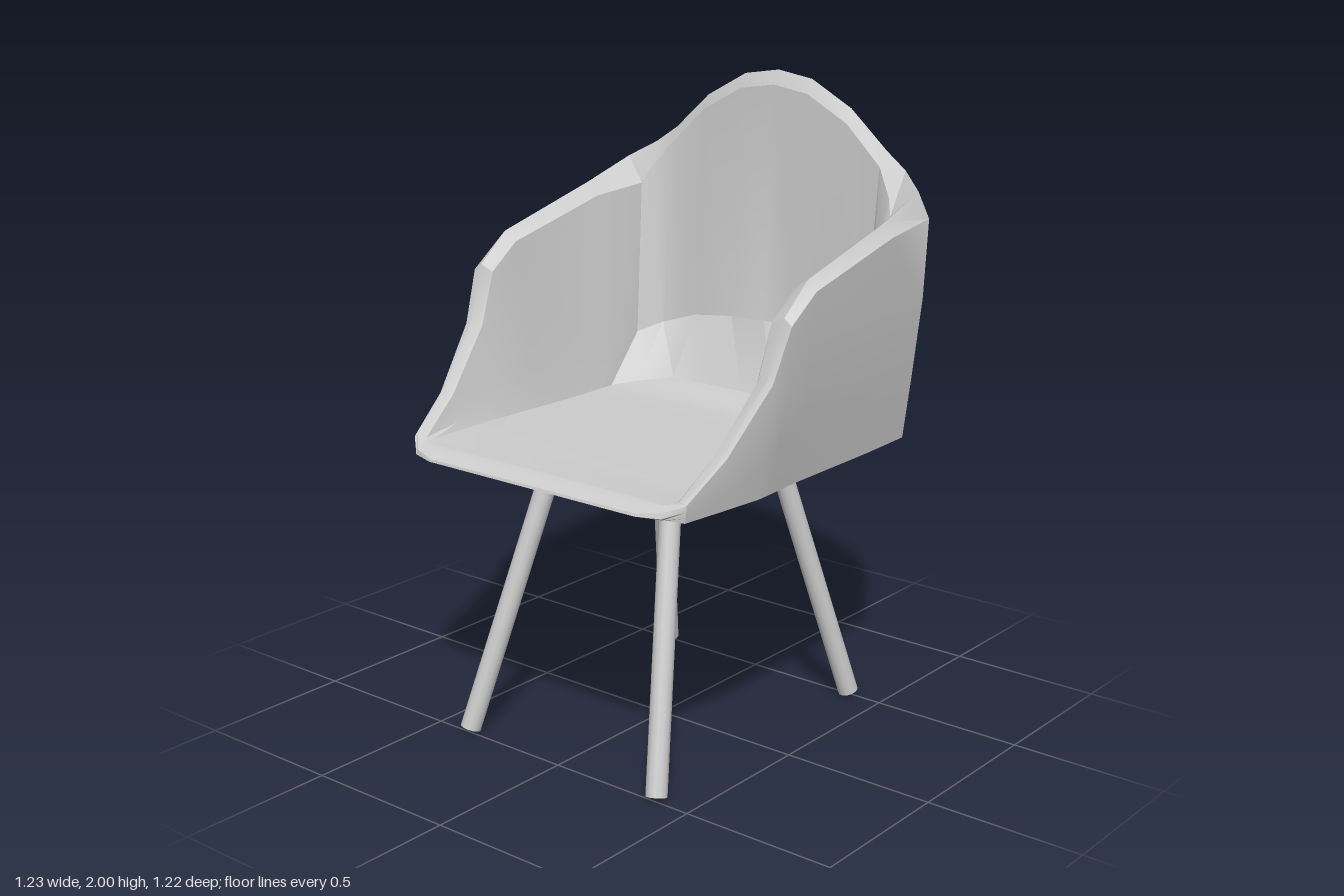
import * as THREE from 'three';
import { toCreasedNormals } from 'three/addons/utils/BufferGeometryUtils.js';

const material = new THREE.MeshStandardMaterial({ color: 0xcccccc });

// Rim of the left half, from back centre round to front centre:
// x, y, z, offset to outer wall, offset to inner wall, bevel drop
const RIM = [
  [0, 2.0, -0.58, 0.03, 0.025, 0.045],
  [0.13, 1.98, -0.58, 0.03, 0.025, 0.045],
  [0.28, 1.9, -0.58, 0.03, 0.025, 0.045],
  [0.41, 1.785, -0.58, 0.03, 0.03, 0.05],
  [0.49, 1.73, -0.57, 0.03, 0.06, 0.08],
  [0.57, 1.68, -0.52, 0.035, 0.085, 0.08],
  [0.58, 1.615, -0.32, 0.032, 0.045, 0.04],
  [0.585, 1.51, 0.07, 0.03, 0.045, 0.03],
  [0.585, 1.42, 0.18, 0.028, 0.045, 0.02],
  [0.575, 1.25, 0.24, 0.02, 0.04, 0.01],
  [0.545, 1.06, 0.4, 0.012, 0.035, 0.005],
  [0.52, 0.955, 0.54, 0.01, 0.03, 0.003],
  [0.475, 0.93, 0.585, 0.005, 0.03, 0.015],
  [0.4, 0.92, 0.608, 0.003, 0.035, 0.008],
  [0, 0.92, 0.608, 0.003, 0.035, 0.008],
];

// Seat outline at the same stations: x, y, z
const SEAT = [
  [0, 0.985, -0.4], [0.13, 0.985, -0.4], [0.28, 0.985, -0.4],
  [0.38, 0.97, -0.33], [0.447, 0.955, -0.28], [0.45, 0.953, -0.23],
  [0.455, 0.95, -0.14], [0.462, 0.95, 0.05], [0.468, 0.95, 0.18],
  [0.474, 0.95, 0.28], [0.476, 0.948, 0.4], [0.468, 0.945, 0.5],
  [0.44, 0.943, 0.54], [0.38, 0.943, 0.55], [0, 0.943, 0.55],
];

// Point between a and b; the plan position can run ahead of the height
const between = (a, b, height, plan) =>
  new THREE.Vector3(
    THREE.MathUtils.lerp(a.x, b.x, plan),
    THREE.MathUtils.lerp(a.y, b.y, height),
    THREE.MathUtils.lerp(a.z, b.z, plan));

// Cross-section of the wall: underside, outer wall, rim, inner wall, seat edge
function section(i) {
  const [x, y, z, out, inn, drop] = RIM[i];
  const last = RIM.length - 1;
  const a = RIM[Math.max(i - 1, 0)], b = RIM[Math.min(i + 1, last)];
  const normal = i === 0 || i === last
    ? new THREE.Vector3(0, 0, i === 0 ? -1 : 1)
    : new THREE.Vector3(b[2] - a[2], 0, a[0] - b[0]).normalize();
  const rim = new THREE.Vector3(x, y, z);
  const outer = rim.clone().addScaledVector(normal, out);
  const inner = rim.clone().addScaledVector(normal, -inn);
  outer.y -= drop;
  inner.y -= i > 11 ? -0.015 : drop;
  const taper = 1 - 0.115 * THREE.MathUtils.clamp((y - 0.9) / 0.6, 0, 1);
  const base = new THREE.Vector3(outer.x * taper, 0.9, Math.min(outer.z, 0.55));
  const seat = new THREE.Vector3(...SEAT[i]);
  const lean = i < 4 ? 0.75 : i === 4 ? 0.65 : 0.35;
  return [base, between(base, outer, 0.3, 0.4), between(base, outer, 0.65, 0.82), outer,
    rim, inner, between(seat, inner, 0.22, lean), seat];
}

function shellGeometry() {
  const positions = [];
  const tri = (...points) => points.forEach((p) => positions.push(p.x, p.y, p.z));
  const quad = (a, b, c, d) => { tri(a, b, c); tri(a, c, d); };
  const mirror = (p) => new THREE.Vector3(-p.x, p.y, p.z);
  const sections = RIM.map((_, i) => section(i));
  const top = sections[0].length - 1;
  for (let i = 0; i < sections.length - 1; i++) {
    const s = sections[i], n = sections[i + 1];
    // Walls, both halves
    for (let k = 0; k < top; k++) {
      quad(s[k], s[k + 1], n[k + 1], n[k]);
      quad(...[n[k], n[k + 1], s[k + 1], s[k]].map(mirror));
    }
    // Seat and underside, strips from side to side
    if (i >= 2 && i < 13) quad(mirror(s[top]), mirror(n[top]), n[top], s[top]);
    if (i >= 3 && i < 13) quad(s[0], n[0], mirror(n[0]), mirror(s[0]));
  }
  const geometry = new THREE.BufferGeometry();
  geometry.setAttribute('position', new THREE.Float32BufferAttribute(positions, 3));
  return toCreasedNormals(geometry, 0.45);
}

// Round leg between two points
function leg(from, to) {
  const axis = new THREE.Vector3().subVectors(from, to);
  const mesh = new THREE.Mesh(new THREE.CylinderGeometry(0.033, 0.033, axis.length(), 12), material);
  mesh.position.addVectors(from, to).multiplyScalar(0.5);
  mesh.quaternion.setFromUnitVectors(new THREE.Vector3(0, 1, 0), axis.normalize());
  return mesh;
}

export function createModel() {
  const chair = new THREE.Group();
  chair.name = 'armchair';

  const shell = new THREE.Mesh(shellGeometry(), material);
  shell.name = 'seatShell';
  chair.add(shell);

  // Four splayed legs
  for (const side of [1, -1]) {
    for (const [end, topZ, footZ] of [['front', 0.23, 0.49], ['back', -0.262, -0.5]]) {
      const mesh = leg(
        new THREE.Vector3(side * 0.225, 0.905, topZ),
        new THREE.Vector3(side * 0.378, 0.012, footZ));
      mesh.name = `${end}Leg${side > 0 ? 'Left' : 'Right'}`;
      chair.add(mesh);
    }
  }
  return chair;
}
